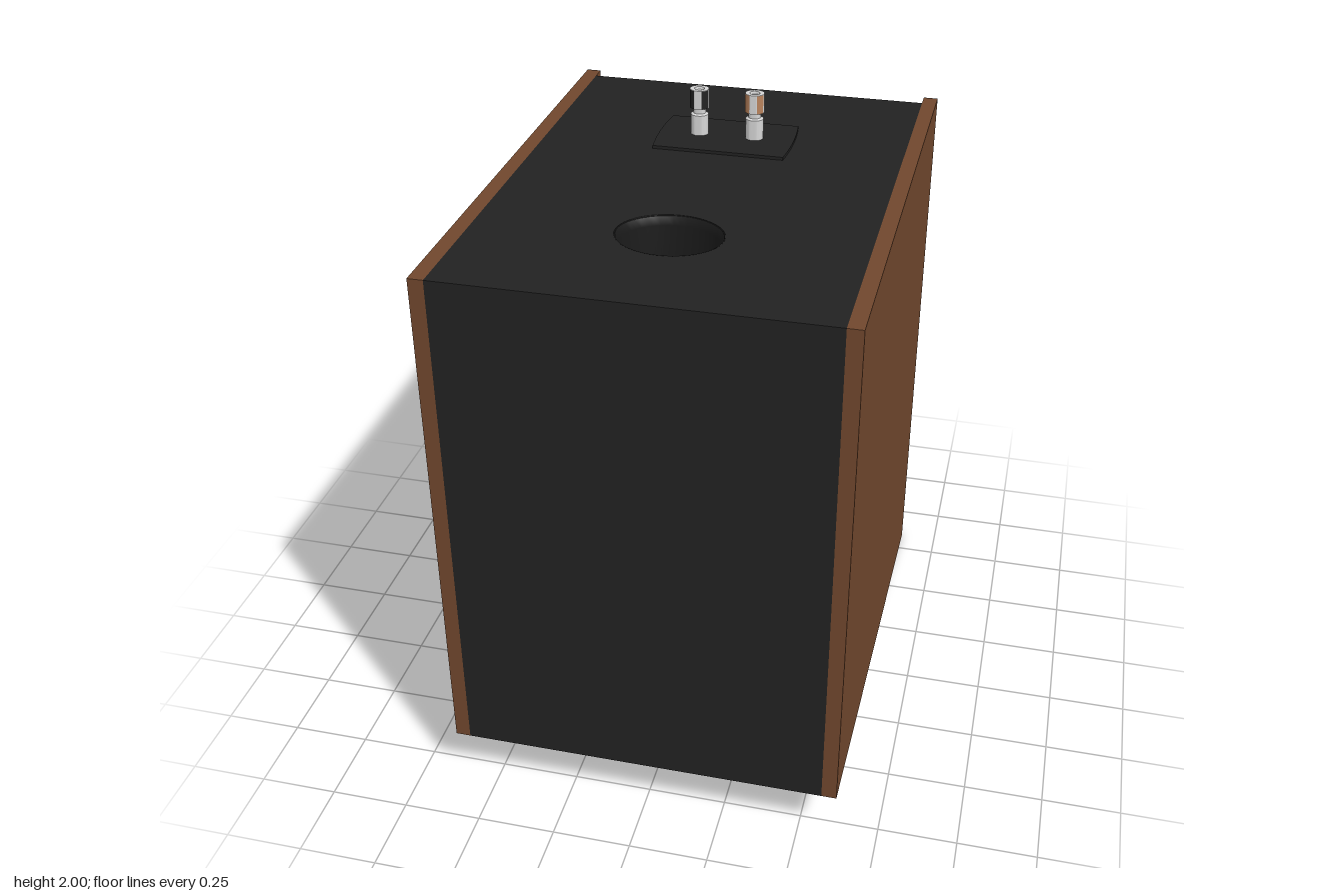
import * as THREE from 'three';
import { toCreasedNormals } from 'three/addons/utils/BufferGeometryUtils.js';

const material = (name, color, side = THREE.FrontSide) => {
  const m = new THREE.MeshStandardMaterial({ color, side });
  m.name = name;
  return m;
};

export function createModel() {
  const wood = material('walnut', 0x70472d);
  const black = material('cabinet black', 0x222222);
  const rubber = material('driver black', 0x1a1a1a, THREE.DoubleSide);
  const silver = material('silver', 0xd6d6d6, THREE.DoubleSide);
  const copper = material('copper', 0xb8825c);

  const W = 0.575, OUT = 0.622, TOP = 1.84, FRONT = 0.835, BACK = -0.785, RISE = 0.19;
  const STRETCH = 1.2; // drivers and fittings are wider than they are long
  const slopeY = z => RISE * (z + FRONT) / (2 * FRONT);

  const model = new THREE.Group();
  model.name = 'speaker';

  const add = (parent, name, geo, mat, x = 0, y = 0, z = 0) => {
    const mesh = new THREE.Mesh(geo, mat);
    mesh.name = name;
    mesh.position.set(x, y, z);
    parent.add(mesh);
    return mesh;
  };
  const box = (name, mat, x, y, z, w, h, d) =>
    add(model, name, new THREE.BoxGeometry(w, h, d), mat, x, y, z);
  const lathe = (parent, name, pts, mat, x = 0, y = 0, z = 0) => {
    const geo = new THREE.LatheGeometry(pts.map(p => new THREE.Vector2(...p)), 48);
    const mesh = add(parent, name, toCreasedNormals(geo, 0.6), mat, x, y, z);
    mesh.scale.x = STRETCH;
    return mesh;
  };
  // Horizontal plate with its upper face at y = 0; shape y points to -z
  const plate = (shape, t) =>
    new THREE.ExtrudeGeometry(shape, { depth: t, bevelEnabled: false, curveSegments: 32 })
      .rotateX(-Math.PI / 2).translate(0, -t, 0);
  const rect = (y0, y1) => new THREE.Shape([
    new THREE.Vector2(-W, y0), new THREE.Vector2(W, y0),
    new THREE.Vector2(W, y1), new THREE.Vector2(-W, y1)]);
  const punch = (shape, y, r) => {
    shape.holes.push(new THREE.Path().absellipse(0, y, r * STRETCH, r, 0, Math.PI * 2, true));
    return shape;
  };
  // Upright slab between x0 and x1 with the sloping lower edge
  const slab = (name, mat, x0, x1, zBack, lift = 0) => {
    const s = new THREE.Shape([
      new THREE.Vector2(zBack, slopeY(zBack) + lift), new THREE.Vector2(FRONT - lift, RISE + lift),
      new THREE.Vector2(FRONT - lift, TOP - lift), new THREE.Vector2(zBack, TOP - lift)]);
    const geo = new THREE.ExtrudeGeometry(s, { depth: x1 - x0, bevelEnabled: false })
      .rotateY(-Math.PI / 2).translate(x1, 0, 0);
    add(model, name, geo, mat);
  };

  // Wooden side panels, their inner linings and dark back edges
  slab('rightPanel', wood, W, OUT, -FRONT);
  slab('leftPanel', wood, -OUT, -W, -FRONT);
  slab('rightLining', black, W - 0.02, W, BACK + 0.01, 0.01);
  slab('leftLining', black, -W, -W + 0.02, BACK + 0.01, 0.01);
  for (const s of [-1, 1]) {
    box('panelBackEdge', black, s * (W + OUT) / 2, TOP / 2, -FRONT - 0.002, OUT - W, TOP, 0.004);
  }

  // Hollow cabinet
  box('frontWall', black, 0, (TOP + RISE) / 2, FRONT - 0.02, 2 * W, TOP - RISE, 0.04);
  box('backWall', black, 0, (TOP + 0.01) / 2, BACK + 0.02, 2 * W, TOP - 0.01, 0.04);
  add(model, 'topWall', plate(punch(rect(-FRONT, -BACK), -0.41, 0.131), 0.04), black, 0, TOP, 0);

  // Port tube sunk in the top
  lathe(model, 'port', [[0.134, 0], [0.13, -0.006], [0.125, -0.03], [0.125, -0.45], [0, -0.45]],
    rubber, 0, TOP + 0.001, 0.41);

  // Sloping baffle; in this group +y points out of the baffle, -z toward the front
  const baffle = new THREE.Group();
  baffle.name = 'baffle';
  baffle.position.y = RISE / 2;
  baffle.rotation.x = Math.PI - Math.atan(RISE / (2 * FRONT));
  model.add(baffle);
  add(baffle, 'baffleBoard', plate(punch(rect(-0.79, 0.84), -0.147, 0.315), 0.04), black);

  // Woofer: flange, raised surround, and bright rim inside
  lathe(baffle, 'wooferSurround', [[0.42, 0], [0.42, 0.005], [0.358, 0.007], [0.358, 0.022],
    [0.35, 0.026], [0.335, 0.026], [0.328, 0.018], [0.318, 0.018], [0.31, 0.01], [0.308, -0.03]],
  rubber, 0, 0, 0.147);
  lathe(baffle, 'wooferRim', [[0.308, -0.03], [0.295, -0.085]], silver, 0, 0, 0.147);

  // Tweeter: flange, shallow horn and small dome
  lathe(baffle, 'tweeterFlange', [[0.23, 0], [0.23, 0.009], [0.222, 0.012], [0.17, 0.012],
    [0.12, 0.008], [0.06, 0.004], [0, 0.004]], rubber, 0, 0, -0.553);
  const dome = [[0.052, 0], [0.052, 0.012]];
  for (let i = 1; i <= 6; i++) {
    const a = i * Math.PI / 12;
    dome.push([0.045 * Math.cos(a), 0.012 + 0.022 * Math.sin(a)]);
  }
  lathe(baffle, 'tweeterDome', dome, rubber, 0, 0, -0.553);

  // Terminal plate with bowed ends
  const tray = new THREE.Shape();
  tray.moveTo(-0.21, -0.133);
  tray.lineTo(0.21, -0.133);
  tray.quadraticCurveTo(0.227, 0, 0.21, 0.133);
  tray.lineTo(-0.21, 0.133);
  tray.quadraticCurveTo(-0.227, 0, -0.21, -0.133);
  add(model, 'terminalPlate', plate(tray, 0.01), black, 0, TOP + 0.01, -0.325);

  // Binding posts, each with coloured strips around the cap
  for (const [x, strip] of [[-0.09, black], [0.09, copper]]) {
    const post = new THREE.Group();
    post.name = 'bindingPost';
    post.position.set(x, TOP + 0.01, -0.33);
    post.scale.x = 1.1;
    model.add(post);
    lathe(post, 'postBody', [[0.026, 0], [0.026, 0.066], [0.018, 0.07], [0.018, 0.084],
      [0.028, 0.088], [0.028, 0.15], [0.015, 0.15], [0.013, 0.142], [0, 0.142]], silver).scale.x = 1;
    for (let i = 0; i < 4; i++) {
      const start = Math.PI * (0.5 * i + 0.125);
      add(post, 'capStrip', new THREE.CylinderGeometry(0.029, 0.029, 0.06, 4, 1, true, start, Math.PI / 4),
        strip, 0, 0.119, 0);
    }
  }
  return model;
}
